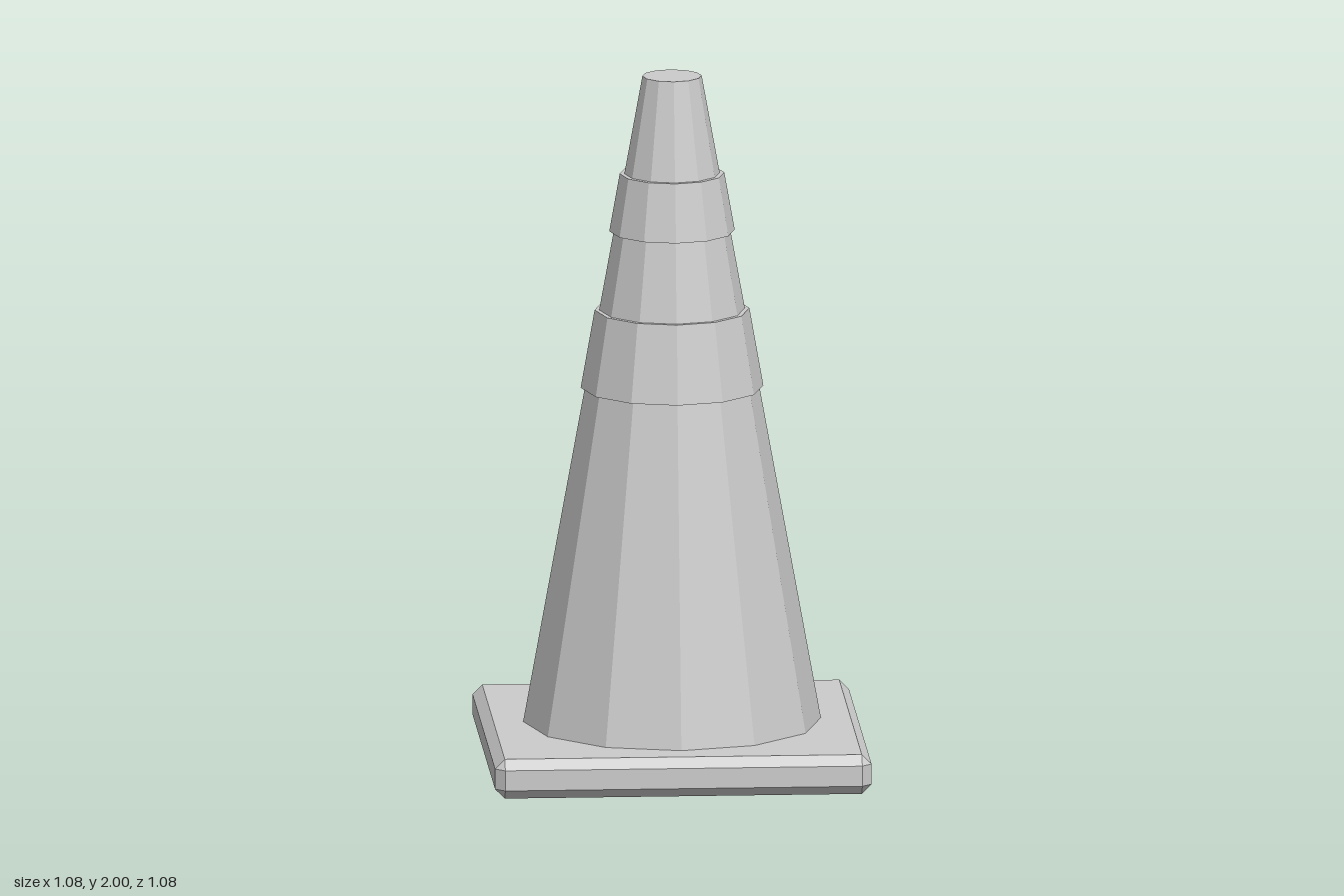
import * as THREE from 'three';
import { ConvexGeometry } from 'three/addons/geometries/ConvexGeometry.js';

const SIDES = 12;

export function createModel() {
  const group = new THREE.Group();
  const grey = new THREE.MeshStandardMaterial({ color: 0xcccccc, flatShading: true });
  grey.name = 'light grey';

  const add = (name, geometry, y) => {
    const mesh = new THREE.Mesh(geometry, grey);
    mesh.name = name;
    mesh.position.y = y;
    group.add(mesh);
  };
  // Faceted, closed cone section between two heights
  const section = (name, y0, r0, y1, r1) =>
    add(name, new THREE.CylinderGeometry(r1, r0, y1 - y0, SIDES), (y0 + y1) / 2);

  // Square base plate with every edge chamfered
  const half = 0.54, halfHeight = 0.0575, bevel = 0.028;
  const inner = half - bevel;
  const points = [];
  for (const sx of [-1, 1]) for (const sy of [-1, 1]) for (const sz of [-1, 1]) {
    points.push(
      new THREE.Vector3(sx * half, sy * (halfHeight - bevel), sz * inner),
      new THREE.Vector3(sx * inner, sy * halfHeight, sz * inner),
      new THREE.Vector3(sx * inner, sy * (halfHeight - bevel), sz * half)
    );
  }
  add('basePlate', new ConvexGeometry(points), halfHeight);

  // Tapered body and its two raised collars
  section('coneBody', 0.115, 0.427, 2, 0.085);
  section('lowerCollar', 1.09, 0.262, 1.317, 0.222);
  section('upperCollar', 1.547, 0.18, 1.715, 0.15);

  return group;
}
